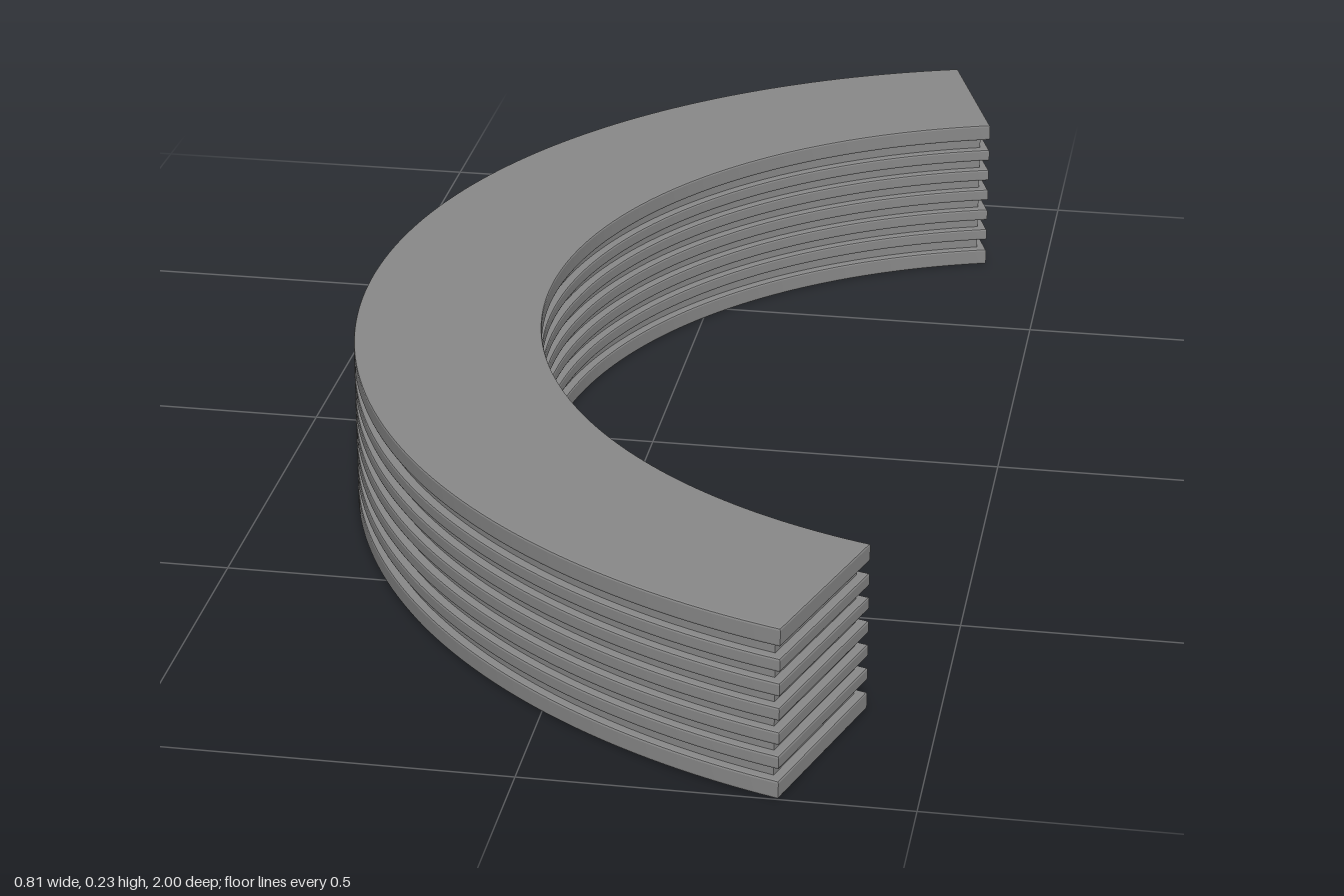
import * as THREE from 'three';
import { toCreasedNormals } from 'three/addons/utils/BufferGeometryUtils.js';

const CENTRE_X = 0.64, OUTER = 1.0475, INNER = 0.786;
const HALF_SWEEP = Math.atan2(1, 0.311);
const HEIGHT = 0.235, INSET = 0.0125, FILLET = 0.003;

// Arc-shaped outline, pulled in evenly on all four sides by d
function arcShape(d) {
  const ro = OUTER - d, ri = INNER + d;
  const ho = HALF_SWEEP - Math.asin(d / ro);
  const hi = HALF_SWEEP - Math.asin(d / ri);
  const shape = new THREE.Shape();
  shape.absarc(CENTRE_X, 0, ro, Math.PI - ho, Math.PI + ho, false);
  shape.absarc(CENTRE_X, 0, ri, Math.PI + hi, Math.PI - hi, true);
  return shape;
}

// Horizontal slab of the arc between two heights, with optional rounded edges
function slab(name, inset, y0, y1, fillet, material) {
  const geometry = new THREE.ExtrudeGeometry(arcShape(inset + fillet), {
    depth: y1 - y0 - 2 * fillet,
    curveSegments: 72,
    bevelEnabled: fillet > 0,
    bevelSize: fillet,
    bevelThickness: fillet,
    bevelSegments: 2,
  });
  geometry.rotateX(-Math.PI / 2);
  geometry.translate(0, y0 + fillet, 0);
  // Low crease angle keeps the flat faces flat and the curved walls smooth
  const mesh = new THREE.Mesh(toCreasedNormals(geometry, 0.25), material);
  mesh.name = name;
  return mesh;
}

export function createModel() {
  const group = new THREE.Group();
  group.name = 'groovedArc';
  const material = new THREE.MeshStandardMaterial({ color: 0x888888 });

  // Recessed core visible in the grooves
  group.add(slab('core', INSET, 0.012, HEIGHT - 0.012, 0, material));

  // Thicker end plates
  const plate = 0.025;
  group.add(slab('bottomPlate', 0, 0, plate, FILLET, material));
  group.add(slab('topPlate', 0, HEIGHT - plate, HEIGHT, FILLET, material));

  // Five thin ridges between the plates
  const pitch = 0.0335, ridge = 0.0185;
  for (let i = -2; i <= 2; i++) {
    const y = HEIGHT / 2 + i * pitch;
    group.add(slab('ridge' + (i + 3), 0, y - ridge / 2, y + ridge / 2, FILLET, material));
  }
  return group;
}
